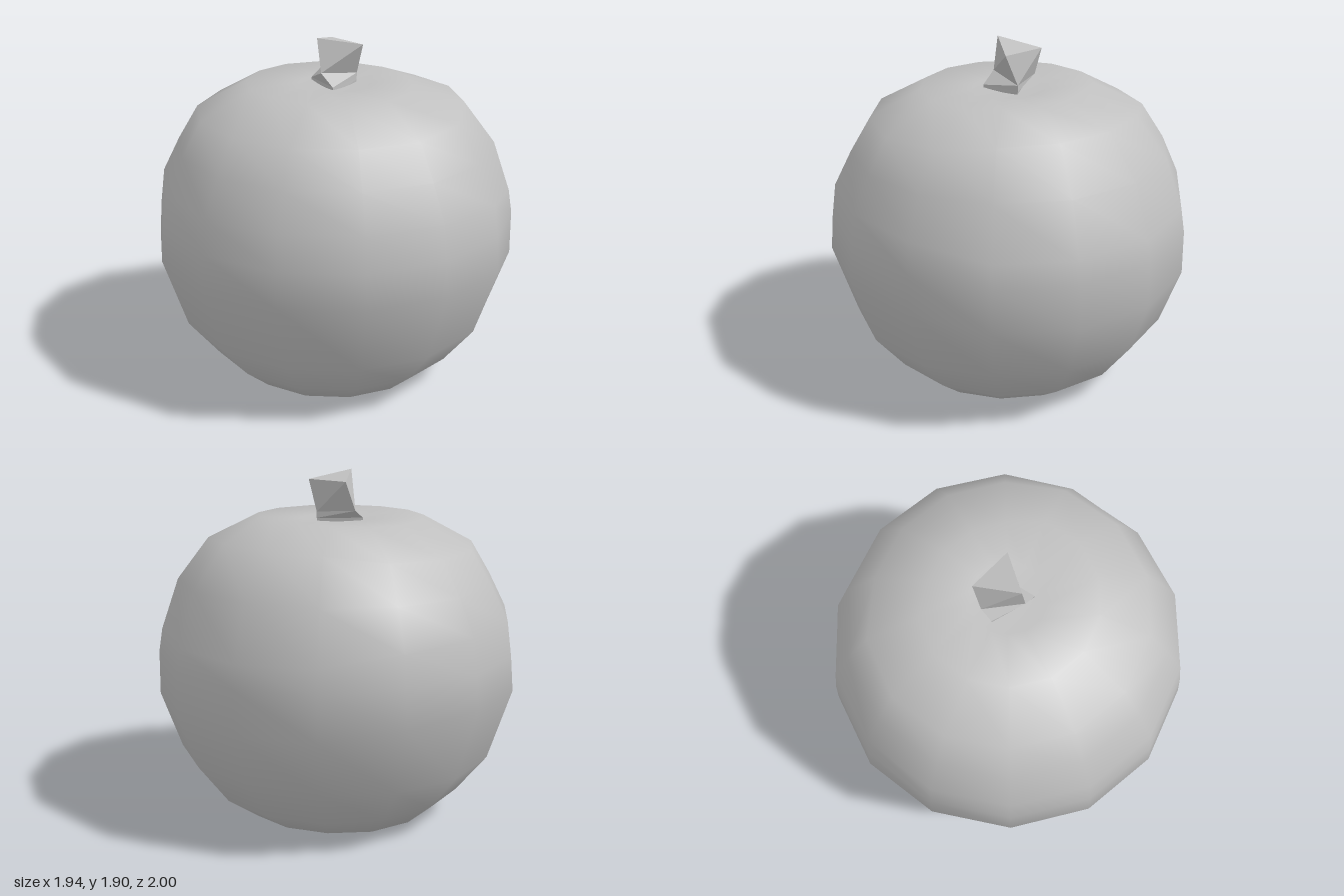
import * as THREE from 'three';
import { mergeVertices } from 'three/addons/utils/BufferGeometryUtils.js';

const SIDES = 14;

// Profile rows, bottom dimple to top hollow: [radius, y, radius on +x side, y on +x side]
const PROFILE = [
  [0, 0.2, 0, 0.2],
  [0.3, 0, 0.3, 0],
  [0.545, 0.012, 0.53, 0.012],
  [0.7, 0.145, 0.71, 0.14],
  [0.87, 0.355, 0.885, 0.37],
  [1, 0.75, 0.995, 0.67],
  [0.985, 0.94, 0.995, 0.92],
  [0.96, 1.13, 0.975, 1.04],
  [0.865, 1.32, 0.88, 1.33],
  [0.755, 1.505, 0.7, 1.56],
  [0.48, 1.655, 0.41, 1.66],
  [0.2, 1.645, 0.2, 1.645],
  [0, 1.63, 0, 1.63],
];

// Rounded fruit: a lathe whose profile bulges a little more on the +x side
function createBody(material) {
  const points = PROFILE.map(([r, y]) => new THREE.Vector2(r, y));
  let geo = new THREE.LatheGeometry(points, SIDES);
  const pos = geo.attributes.position;
  for (let i = 0; i < pos.count; i++) {
    const [r0, y0, r1, y1] = PROFILE[i % PROFILE.length];
    const a = (Math.floor(i / PROFILE.length) / SIDES) * Math.PI * 2;
    const t = THREE.MathUtils.smoothstep(Math.sin(a), 0.2, 0.95);
    const r = THREE.MathUtils.lerp(r0, r1, t);
    pos.setXYZ(i, Math.sin(a) * r, THREE.MathUtils.lerp(y0, y1, t), Math.cos(a) * r);
  }
  // Weld the seam so the skin shades smoothly all round
  geo.deleteAttribute('uv');
  geo.deleteAttribute('normal');
  geo = mergeVertices(geo, 1e-4);
  geo.computeVertexNormals();
  const mesh = new THREE.Mesh(geo, material);
  mesh.name = 'fruitBody';
  return mesh;
}

// Chunky three-sided stem, twisted at the foot and cut at a slant
function createStem(material) {
  const rings = [
    [[-0.08, 1.6, 0.11], [0.12, 1.6, 0.03], [-0.05, 1.6, -0.14]],
    [[-0.085, 1.655, 0.11], [0.13, 1.655, 0.03], [-0.05, 1.655, -0.145]],
    [[-0.105, 1.72, 0.03], [0.13, 1.69, 0.03], [0.02, 1.7, -0.155]],
    [[-0.11, 1.905, 0], [0.12, 1.86, 0.1], [0.09, 1.86, -0.15]],
  ];
  const index = [];
  for (let k = 0; k < rings.length - 1; k++) {
    for (let j = 0; j < 3; j++) {
      const a = k * 3 + j, b = k * 3 + ((j + 1) % 3);
      index.push(a, b, b + 3, a, b + 3, a + 3);
    }
  }
  const top = (rings.length - 1) * 3;
  index.push(top, top + 1, top + 2, 0, 2, 1);
  let geo = new THREE.BufferGeometry();
  geo.setAttribute('position', new THREE.Float32BufferAttribute(rings.flat(2), 3));
  geo.setIndex(index);
  geo = geo.toNonIndexed(); // faceted
  geo.computeVertexNormals();
  const mesh = new THREE.Mesh(geo, material);
  mesh.name = 'stem';
  return mesh;
}

export function createModel() {
  const grey = new THREE.MeshStandardMaterial({ color: 0xc0c0c0 });
  grey.name = 'plain grey';
  const group = new THREE.Group();
  group.name = 'fruit';
  group.add(createBody(grey), createStem(grey));
  return group;
}
